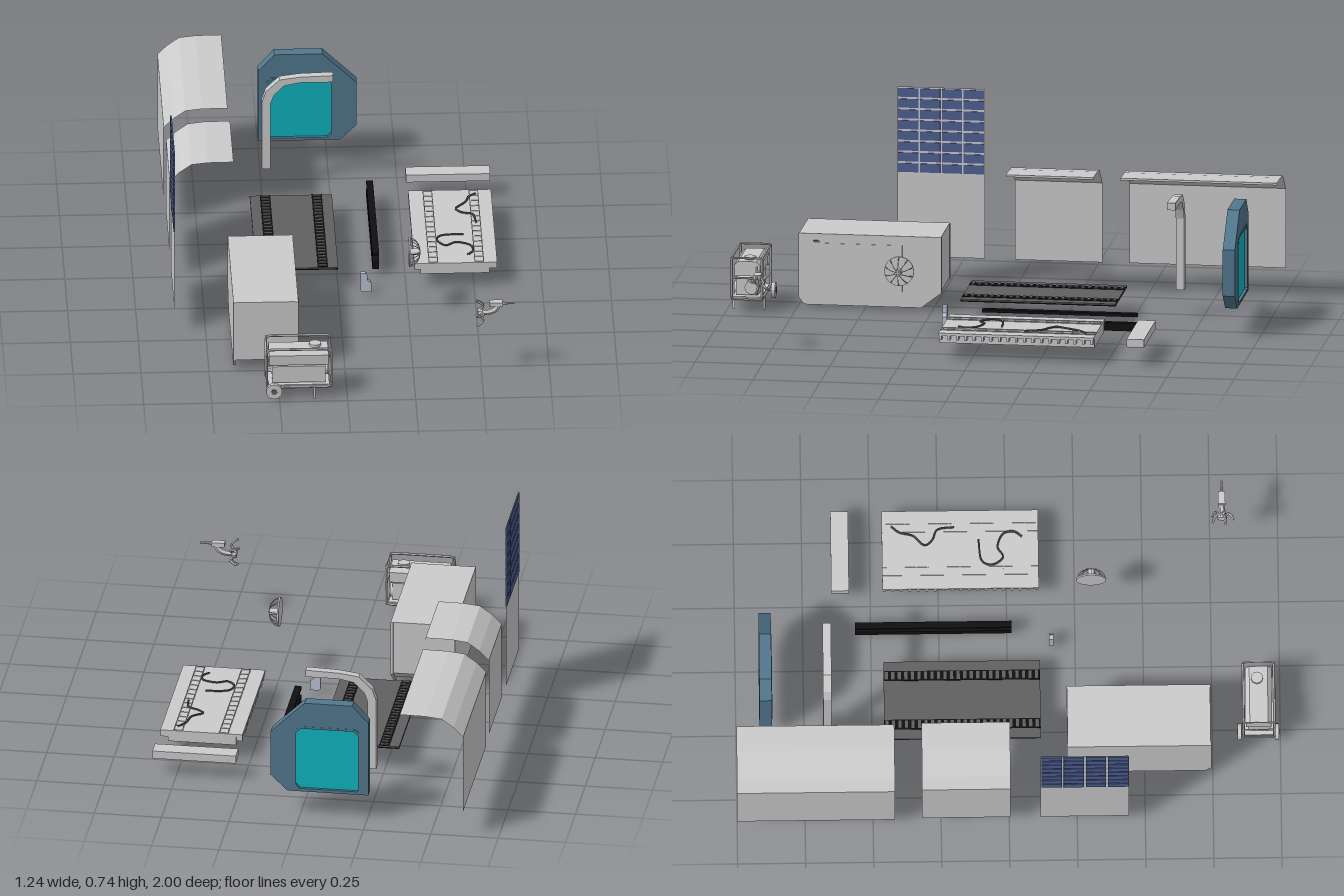
import * as THREE from 'three';

const material = (color) => new THREE.MeshStandardMaterial({ color, side: THREE.DoubleSide, flatShading: true });
const GREY = material(0xcccccc), BLACK = material(0x101010), DARK = material(0x606060);
const BLUE = material(0x4f5f93), STEEL = material(0x52788f), TEAL = material(0x0fb4be), PALE = material(0xbcc2d6);

export function createModel() {
  const root = new THREE.Group();

  const group = (name) => {
    const g = new THREE.Group();
    g.name = name;
    root.add(g);
    return g;
  };
  const add = (parent, name, geometry, mat = GREY) => {
    const mesh = new THREE.Mesh(geometry, mat);
    mesh.name = name;
    parent.add(mesh);
    return mesh;
  };
  // Box given by its minimum and maximum on each axis
  const box = (parent, name, [x0, x1], [y0, y1], [z0, z1], mat) => {
    const m = add(parent, name, new THREE.BoxGeometry(x1 - x0, y1 - y0, z1 - z0), mat);
    m.position.set((x0 + x1) / 2, (y0 + y1) / 2, (z0 + z1) / 2);
    return m;
  };
  const points = (list) => list.map(([x, y]) => new THREE.Vector2(x, y));
  // x/y outline extruded from z0 to z1
  const slab = (parent, name, outline, z0, z1, mat, hole) => {
    const shape = new THREE.Shape(points(outline));
    if (hole) shape.holes.push(new THREE.Path(points(hole)));
    const m = add(parent, name, new THREE.ExtrudeGeometry(shape, { depth: z1 - z0, bevelEnabled: false }), mat);
    m.position.z = z0;
    return m;
  };
  // z/y outline extruded from x0 to x1
  const sideSlab = (parent, name, outline, x0, x1, mat) => {
    const m = slab(parent, name, outline.map(([z, y]) => [-z, y]), 0, x1 - x0, mat);
    m.rotation.y = Math.PI / 2;
    m.position.x = x0;
    return m;
  };
  const tube = (parent, name, path, r, mat, closed = false, steps = 24, tension = 0.5) => {
    const curve = new THREE.CatmullRomCurve3(path.map((p) => new THREE.Vector3(...p)), closed, 'catmullrom', tension);
    return add(parent, name, new THREE.TubeGeometry(curve, steps, r, 6, closed), mat);
  };
  // Thin sheet: x/y profile swept straight along z
  const sheet = (parent, name, profile, z0, z1) => {
    const g = new THREE.PlaneGeometry(1, 1, 1, profile.length - 1);
    const p = g.attributes.position;
    profile.forEach(([x, y], i) => {
      p.setXYZ(2 * i, x, y, z0);
      p.setXYZ(2 * i + 1, x, y, z1);
    });
    g.computeVertexNormals();
    return add(parent, name, g);
  };

  // Wall sheets with bent-over roofs
  const wall = [[-0.62, 0.1], [-0.62, 0.4], [-0.585, 0.435], [-0.54, 0.467], [-0.48, 0.474], [-0.385, 0.475], [-0.385, 0.467]];
  const walls = group('wallPanels');
  sheet(walls, 'longWallPanel', wall, -1, -0.42);
  sheet(walls, 'shortWallPanel', wall.map(([x, y]) => [x + 0.005, y]), -0.32, 0.005);

  // Flat wall with a grid of solar cells
  const solar = group('solarPanel');
  sheet(solar, 'solarBacking', [[-0.615, 0.1], [-0.615, 0.74]], 0.115, 0.44);
  for (let r = 0; r < 8; r++) for (let c = 0; c < 4; c++) {
    const y = 0.418 + r * 0.0405, z = 0.119 + c * 0.081;
    box(solar, 'solarCell', [-0.618, -0.612], [y, y + 0.033], [z, z + 0.075], BLUE);
  }

  // Large power cabinet
  const cabinet = group('powerCabinet');
  const side = [[0.745, 0.28], [0.745, 0.04], [0.725, 0.012], [0.29, 0.012], [0.215, 0.07], [0.215, 0.28]];
  sideSlab(cabinet, 'cabinetBody', [[0.743, 0.28], [0.743, 0.042], [0.26, 0.042], [0.217, 0.075], [0.217, 0.28]], -0.4, -0.18);
  for (const x of [-0.41, -0.181]) sideSlab(cabinet, 'cabinetSide', side, x, x + 0.01);
  box(cabinet, 'cabinetDoor', [-0.172, -0.169], [0.07, 0.245], [0.36, 0.66]);
  box(cabinet, 'cabinetHandle', [-0.172, -0.167], [0.248, 0.255], [0.665, 0.69], DARK);

  // Small wheeled generator in a tube frame
  const gen = group('wheeledGenerator');
  for (const z of [0.865, 0.978]) {
    tube(gen, 'frameLoop', [[-0.296, 0.06], [-0.296, 0.195], [-0.286, 0.205], [-0.07, 0.205], [-0.06, 0.195],
      [-0.06, 0.06], [-0.07, 0.05], [-0.286, 0.05]].map(([x, y]) => [x, y, z]), 0.005, GREY, true, 64, 0.05);
    box(gen, 'frameFoot', [-0.125, -0.117], [0, 0.05], [z - 0.004, z + 0.004]);
    const hubZ = z < 0.9 ? 0.85 : 0.988;
    const wheel = add(gen, 'wheel', new THREE.CylinderGeometry(0.03, 0.03, 0.014, 14));
    wheel.rotation.x = Math.PI / 2;
    wheel.position.set(-0.27, 0.039, hubZ);
    const hub = add(gen, 'wheelHub', new THREE.CylinderGeometry(0.011, 0.011, 0.019, 8), DARK);
    hub.rotation.x = Math.PI / 2;
    hub.position.copy(wheel.position);
  }
  for (const x of [-0.296, -0.06]) for (const y of [0.05, 0.13, 0.205])
    tube(gen, 'frameCrossbar', [[x, y, 0.865], [x, y, 0.978]], 0.004, GREY, false, 1);
  tube(gen, 'axle', [[-0.27, 0.039, 0.85], [-0.27, 0.039, 0.988]], 0.004, GREY, false, 1);
  sideSlab(gen, 'fuelTank', [[0.875, 0.135], [0.968, 0.135], [0.97, 0.175], [0.955, 0.19], [0.888, 0.19], [0.873, 0.175]], -0.288, -0.07);
  const cap = add(gen, 'fuelCap', new THREE.CylinderGeometry(0.022, 0.022, 0.012, 16));
  cap.position.set(-0.117, 0.194, 0.916);
  box(gen, 'engineBlock', [-0.275, -0.08], [0.062, 0.128], [0.882, 0.965]);
  box(gen, 'engineBed', [-0.29, -0.066], [0.048, 0.058], [0.868, 0.975]);
  const starter = add(gen, 'starterCover', new THREE.CylinderGeometry(0.026, 0.026, 0.012, 16));
  starter.rotation.z = Math.PI / 2;
  starter.position.set(-0.076, 0.092, 0.905);

  // Door bulkhead with coloured door
  const door = group('bulkhead');
  const doorway = [[-0.212, 0.112], [0, 0.112], [0.014, 0.128], [0.014, 0.335], [-0.004, 0.354], [-0.2, 0.354], [-0.217, 0.337], [-0.217, 0.118]];
  slab(door, 'bulkheadFrame', [[-0.255, 0.1], [0.045, 0.1], [0.108, 0.16], [0.108, 0.335], [-0.018, 0.457],
    [-0.195, 0.457], [-0.255, 0.39]], -0.913, -0.868, STEEL, doorway);
  slab(door, 'doorLeaf', doorway, -0.903, -0.878, TEAL);
  const grow = (s) => doorway.map(([x, y]) => [-0.1 + (x + 0.1) * s, 0.233 + (y - 0.233) * s]);
  for (const z of [-0.914, -0.868]) slab(door, 'doorTrim', grow(1.07), z, z + 0.002, STEEL, doorway);

  // Bent square-section arch beam
  slab(group('archBeam'), 'archBeam', [[-0.25, 0.1], [-0.25, 0.375], [-0.235, 0.42], [-0.185, 0.468], [-0.11, 0.478], [0.012, 0.482],
    [0.012, 0.455], [-0.11, 0.455], [-0.168, 0.443], [-0.205, 0.405], [-0.218, 0.37], [-0.218, 0.1]], -0.679, -0.648);

  // Dark ceiling plate with two toothed tracks
  const dark = group('darkPlate');
  box(dark, 'darkPlateBase', [-0.302, 0], [0.082, 0.087], [-0.455, 0.12], BLACK);
  box(dark, 'darkPlateTop', [-0.302, 0], [0.087, 0.091], [-0.455, 0.12], DARK);
  for (const x of [-0.265, -0.075]) {
    box(dark, 'trackBed', [x, x + 0.038], [0.09, 0.093], [-0.455, 0.12], BLACK);
    for (let i = 0; i < 24; i++)
      box(dark, 'trackTooth', [x + 0.004, x + 0.034], [0.093, 0.096], [-0.451 + i * 0.024, -0.439 + i * 0.024], DARK);
  }

  // Pair of black rails
  const rails = group('rails');
  box(rails, 'lowerRail', [0.13, 0.155], [0.027, 0.057], [-0.557, 0.018], BLACK);
  box(rails, 'upperRail', [0.13, 0.155], [0.081, 0.092], [-0.557, 0.018], BLACK);

  // Floor plate on a ribbed underframe, with ladder strips and loose cables
  const floor = group('floorPlate');
  box(floor, 'floorDeck', [0.28, 0.585], [0.09, 0.1], [-0.455, 0.12]);
  for (const x of [0.303, 0.425, 0.549]) box(floor, 'floorBeam', [x, x + 0.008], [0.057, 0.09], [-0.455, 0.12]);
  for (let i = 0; i < 19; i++) {
    const z = -0.453 + i * 0.0312;
    box(floor, 'floorRib', [0.28, 0.585], [0.074, 0.09], [z, z + 0.009]);
  }
  for (const z of [-0.455, 0.112]) box(floor, 'floorEndBeam', [0.303, 0.557], [0.057, 0.09], [z, z + 0.008]);
  for (const x of [0.333, 0.502]) {
    for (const dx of [0, 0.032]) box(floor, 'stripEdge', [x + dx, x + dx + 0.003], [0.1, 0.103], [-0.455, 0.12]);
    for (let i = 0; i < 15; i++)
      box(floor, 'stripRung', [x, x + 0.034], [0.1, 0.102], [-0.45 + i * 0.04, -0.447 + i * 0.04]);
  }
  tube(floor, 'rearCable', [[0.525, 0.103, -0.42], [0.5, 0.106, -0.39], [0.485, 0.11, -0.34], [0.45, 0.106, -0.3],
    [0.47, 0.104, -0.27], [0.51, 0.106, -0.25], [0.52, 0.103, -0.19]], 0.004, DARK, false, 40);
  tube(floor, 'frontCable', [[0.47, 0.104, -0.1], [0.39, 0.106, -0.09], [0.37, 0.108, -0.05], [0.4, 0.106, -0.01],
    [0.44, 0.108, -0.03], [0.49, 0.106, -0.01], [0.5, 0.104, 0.03], [0.48, 0.103, 0.06]], 0.004, DARK, false, 40);

  // Shallow tray, open below
  const tray = group('tray');
  box(tray, 'trayTop', [0.277, 0.587], [0.094, 0.1], [-0.643, -0.578]);
  for (const x of [0.277, 0.579]) box(tray, 'trayEnd', [x, x + 0.008], [0.07, 0.094], [-0.643, -0.578]);
  for (const z of [-0.643, -0.586]) box(tray, 'traySide', [0.277, 0.587], [0.07, 0.094], [z, z + 0.008]);

  // Small stepped casing
  slab(group('smallCasing'), 'smallCasing', [[0.08, 0.02], [0.088, 0.014], [0.12, 0.014], [0.12, 0.05], [0.105, 0.062],
    [0.105, 0.084], [0.098, 0.09], [0.08, 0.09]], 0.155, 0.172, PALE);

  // Round fan with a domed wire guard
  const fan = group('fan');
  fan.position.set(0.255, 0.25, 0.312);
  const disc = add(fan, 'fanDisc', new THREE.CylinderGeometry(0.055, 0.055, 0.006, 24));
  disc.rotation.z = Math.PI / 2;
  for (let i = 0; i < 10; i++) {
    const a = (i / 10) * Math.PI * 2;
    const at = (x, r) => [x, r * Math.cos(a), r * Math.sin(a)];
    tube(fan, 'guardRib', [at(0, 0.054), at(0.018, 0.047), at(0.033, 0.028), at(0.039, 0.004)], 0.0015, GREY, false, 8);
  }
  const fanHub = add(fan, 'fanHub', new THREE.CylinderGeometry(0.012, 0.012, 0.036, 12));
  fanHub.rotation.z = Math.PI / 2;
  fanHub.position.x = 0.02;

  // Clawed arm with a pointed tip
  const claw = group('clawArm');
  tube(claw, 'armTube', [[0.495, 0.25, 0.795], [0.525, 0.25, 0.795], [0.55, 0.26, 0.795], [0.562, 0.28, 0.795]], 0.011);
  box(claw, 'armHead', [0.53, 0.578], [0.276, 0.293], [0.782, 0.808]);
  const tip = add(claw, 'armTip', new THREE.CylinderGeometry(0.003, 0.006, 0.048, 8));
  tip.rotation.z = -Math.PI / 2;
  tip.position.set(0.598, 0.285, 0.795);
  const palm = add(claw, 'clawPalm', new THREE.CylinderGeometry(0.018, 0.018, 0.018, 10));
  palm.rotation.z = Math.PI / 2;
  palm.position.set(0.495, 0.25, 0.795);
  for (let i = 0; i < 5; i++) {
    const a = (i / 5) * Math.PI * 2 + 0.3;
    const at = (x, r) => [x, 0.25 + r * Math.cos(a), 0.795 + r * 0.8 * Math.sin(a)];
    tube(claw, 'clawFinger', [at(0.495, 0.012), at(0.506, 0.03), at(0.498, 0.044), at(0.482, 0.054)], 0.005, GREY, false, 10);
  }

  return root;
}
